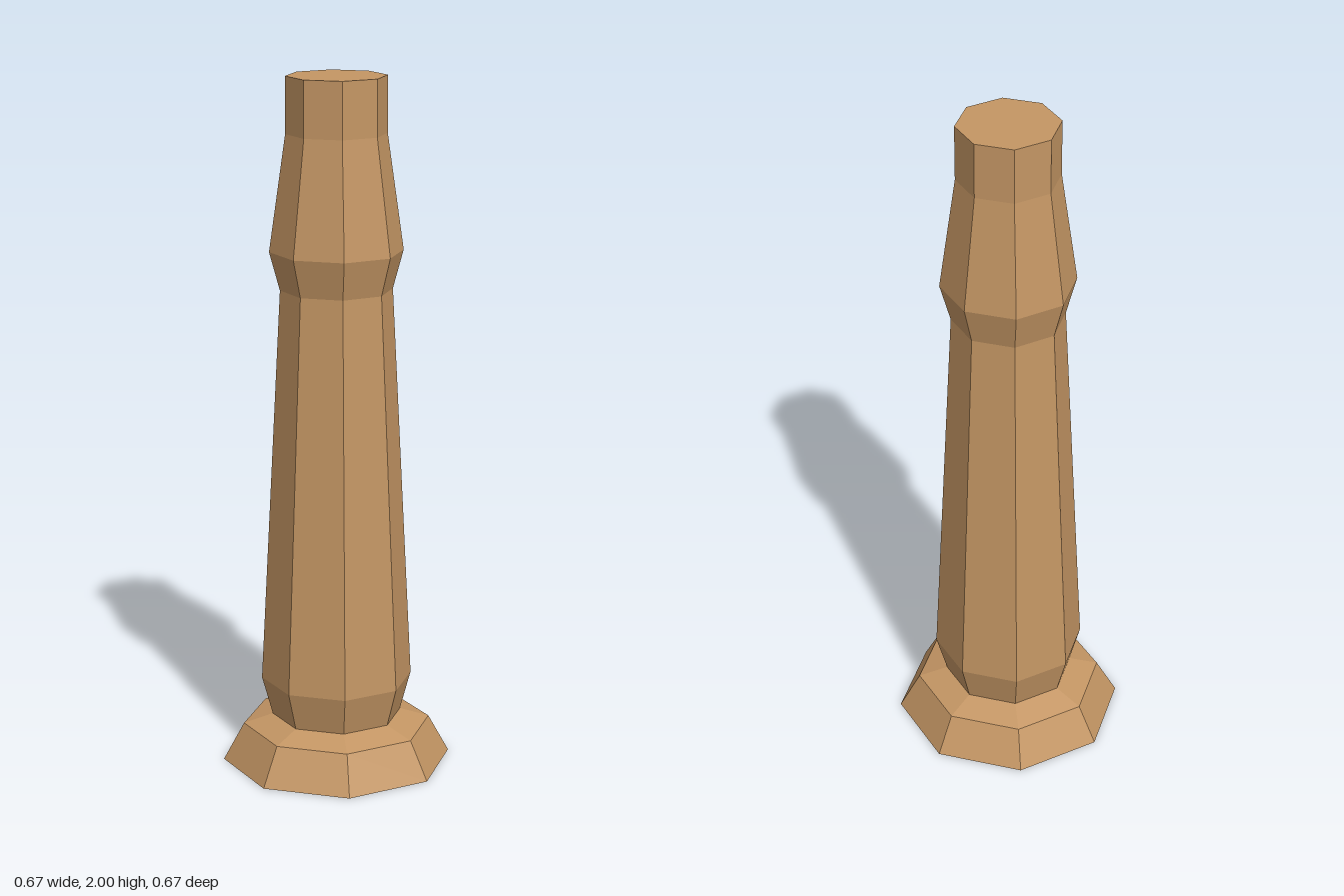
import * as THREE from 'three';

export function createModel() {
  const group = new THREE.Group();
  group.name = 'column';
  const wood = new THREE.MeshStandardMaterial({ color: 0xc49664, flatShading: true });
  wood.name = 'wood';

  // Eight-sided turned part from [radius, height] points, bottom to top
  const turned = (name, points) => {
    const profile = points.map(([r, y]) => new THREE.Vector2(r, y));
    const mesh = new THREE.Mesh(new THREE.LatheGeometry(profile, 8), wood);
    mesh.name = name;
    group.add(mesh);
  };

  // Flared foot with a closed underside and sloping shoulder
  turned('foot', [[0, 0], [0.333, 0], [0.273, 0.11], [0.188, 0.137]]);
  // Tapering shaft that swells just above the foot
  turned('shaft', [[0.188, 0.137], [0.219, 0.25], [0.16, 1.4]]);
  // Collar narrowing to a straight, flat-topped neck
  turned('collar', [[0.16, 1.4], [0.19, 1.51], [0.143, 1.84]]);
  turned('neck', [[0.143, 1.84], [0.143, 2], [0, 2]]);

  return group;
}
